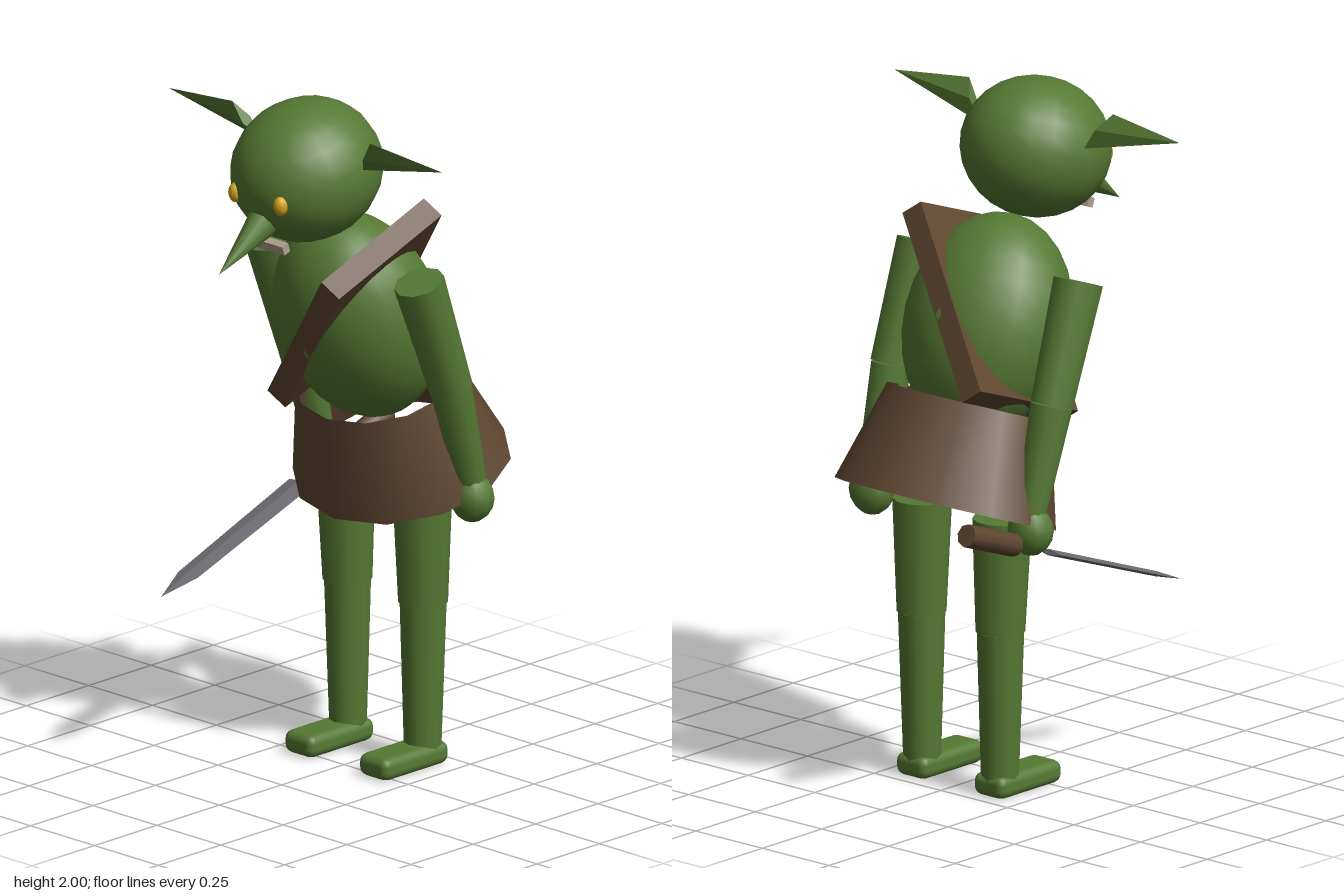
import * as THREE from 'three';
import { RoundedBoxGeometry } from 'three/addons/geometries/RoundedBoxGeometry.js';

const paint = (color, extra = {}) => new THREE.MeshStandardMaterial({ color, ...extra });
const V = (x, y, z) => new THREE.Vector3(x, y, z);
const UP = V(0, 1, 0);

export function createModel() {
  const model = new THREE.Group();
  const green = paint(0x557a33);
  const greenFlat = paint(0x557a33, { flatShading: true });
  const leather = paint(0x5f4630);
  const steel = paint(0x6c6c72, { flatShading: true });
  const LEAN = 0.35; // forward stoop of the body

  const add = (name, geometry, material, x = 0, y = 0, z = 0, parent = model) => {
    const mesh = new THREE.Mesh(geometry, material);
    mesh.name = name;
    mesh.position.set(x, y, z);
    parent.add(mesh);
    return mesh;
  };
  const ball = (name, material, rx, ry, rz, x, y, z, parent, w = 20, h = 14) =>
    add(name, new THREE.SphereGeometry(1, w, h).scale(rx, ry, rz), material, x, y, z, parent);
  // Tapered cylinder from point a (radius ra) to point b (radius rb)
  const limb = (name, a, b, ra, rb, material = green, sides = 10) => {
    const geometry = new THREE.CylinderGeometry(rb, ra, a.distanceTo(b), sides);
    const mid = a.clone().add(b).multiplyScalar(0.5);
    const mesh = add(name, geometry, material, mid.x, mid.y, mid.z);
    mesh.quaternion.setFromUnitVectors(UP, b.clone().sub(a).normalize());
    return mesh;
  };

  // Stooped body: torso, diagonal strap and open skirt
  const body = new THREE.Group();
  body.name = 'body';
  body.position.set(0, 1.356, -0.042);
  body.rotation.x = LEAN;
  model.add(body);
  ball('torso', green, 0.247, 0.32, 0.22, 0, -0.035, 0, body);
  const strap = add('strap', new THREE.BoxGeometry(0.07, 0.6, 0.437), leather, 0, 0, 0, body);
  strap.rotation.z = -0.663;
  const skirt = add('skirt', new THREE.CylinderGeometry(0.252, 0.34, 0.294, 12, 1, true),
    paint(0x5f4630, { side: THREE.DoubleSide }), 0, -0.405, 0, body);
  skirt.scale.z = 0.85;

  // Head
  ball('head', green, 0.21, 0.2, 0.224, 0, 1.798, 0.15).rotation.x = 0.3;
  limb('nose', V(0, 1.69, 0.315), V(0, 1.57, 0.5), 0.05, 0.0005);
  add('teeth', new THREE.BoxGeometry(0.14, 0.028, 0.024), paint(0xb0a08c), 0, 1.613, 0.303).rotation.x = LEAN;

  for (const s of [1, -1]) {
    const side = s > 0 ? 'left' : 'right';

    ball(side + 'Eye', paint(0xd8a21a), 0.021, 0.029, 0.022, s * 0.088, 1.755, 0.344, model, 10, 8);

    // Flat pyramid ear with a slanting base
    const ear = new THREE.ConeGeometry(1, 1, 4).translate(0, 0.5, 0);
    ear.applyMatrix4(new THREE.Matrix4().makeBasis(
      V(-s * 0.035, -0.0525, -0.022), V(s * 0.3, 0.025, 0.005), V(0, -s * 0.006, s * 0.016)));
    add(side + 'Ear', ear, greenFlat, s * 0.235, 1.888, 0.15);

    // Arm
    const shoulder = V(s * 0.293, 1.495, 0), elbow = V(s * 0.3, 1.16, -0.12);
    const wrist = V(s * 0.298, 0.86, -0.205);
    limb(side + 'UpperArm', shoulder, elbow, 0.073, 0.062);
    limb(side + 'Forearm', elbow, wrist, 0.061, 0.044);
    ball(side + 'Hand', green, 0.069, 0.073, 0.06, s * 0.298, 0.815, -0.206, model, 10, 8);

    // Leg
    const knee = V(s * 0.148, 0.48, -0.165);
    limb(side + 'Thigh', V(s * 0.15, 0.81, -0.16), knee, 0.084, 0.07, green, 12);
    limb(side + 'Shin', knee, V(s * 0.146, 0.04, -0.165), 0.068, 0.054, green, 12);
    add(side + 'Foot', new RoundedBoxGeometry(0.115, 0.066, 0.262, 2, 0.025), green, s * 0.146, 0.036, -0.09);
  }

  // Short sword, pointing forward and down along its own +z
  const sword = new THREE.Group();
  sword.name = 'sword';
  sword.position.set(-0.3, 0.53, 0.426);
  sword.rotation.x = LEAN;
  model.add(sword);
  add('swordHandle', new THREE.CylinderGeometry(0.033, 0.033, 0.215, 8).rotateX(Math.PI / 2),
    leather, 0, 0, -0.855, sword);
  // Diamond-section blade: a straight taper, then the point
  const blade = new THREE.Group();
  blade.name = 'blade';
  blade.scale.y = 0.2;
  sword.add(blade);
  add('bladeBody', new THREE.CylinderGeometry(0.038, 0.045, 0.48, 4).rotateX(Math.PI / 2), steel, 0, 0, -0.355, blade);
  add('bladePoint', new THREE.ConeGeometry(0.038, 0.115, 4).rotateX(Math.PI / 2), steel, 0, 0, -0.0575, blade);

  return model;
}
